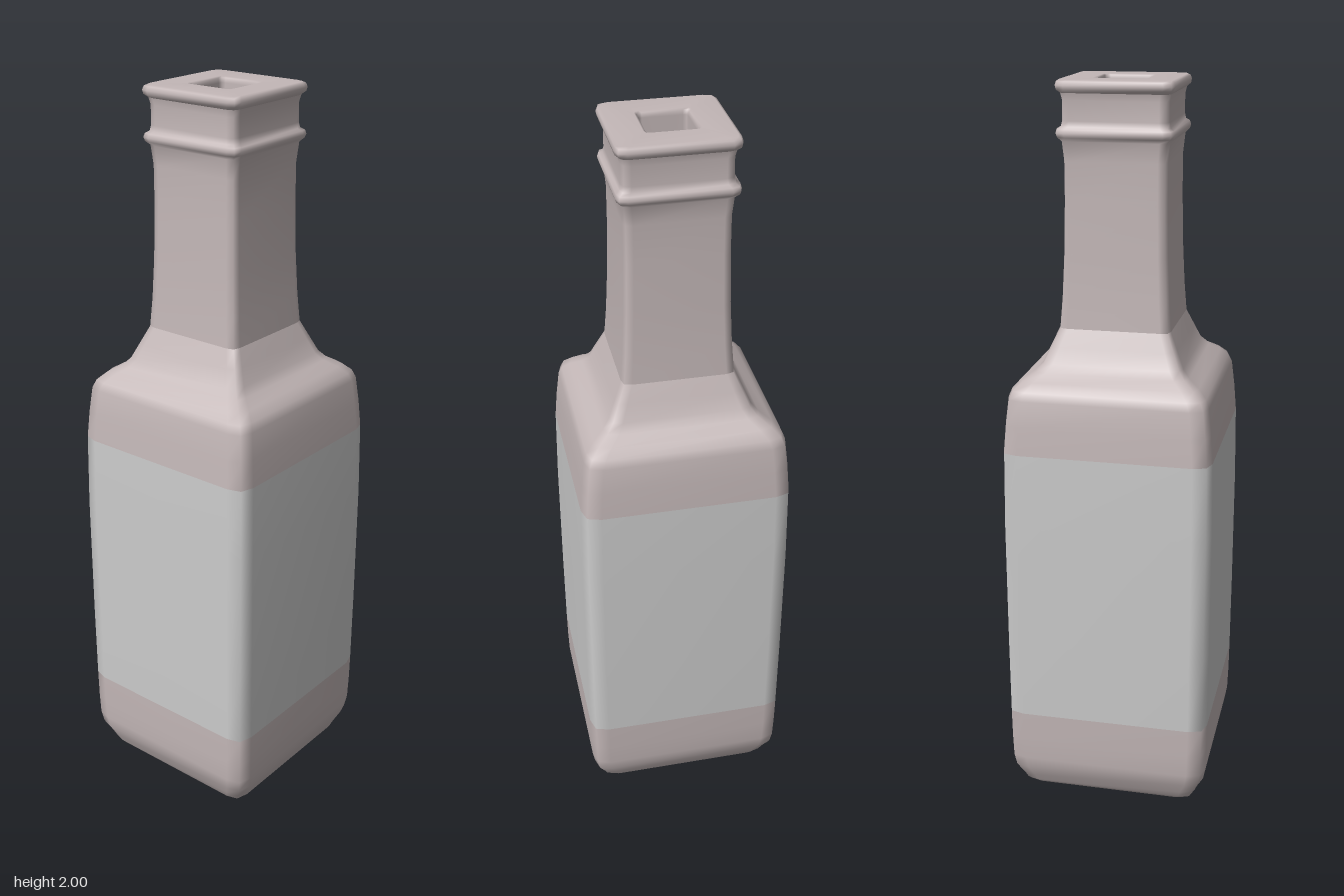
import * as THREE from 'three';

// One square ring with three-point rounded corners: half width r, corner size c
function ring(r, y, c) {
  const corner = [[r, r - c], [r - 0.23 * c, r - 0.23 * c], [r - c, r]];
  const points = [];
  for (let q = 0; q < 4; q++) {
    const a = (q * Math.PI) / 2;
    for (const [x, z] of corner) {
      points.push([x * Math.cos(a) - z * Math.sin(a), y, x * Math.sin(a) + z * Math.cos(a)]);
    }
  }
  return points;
}

// Joins rings of [half width, height, corner size], listed from outside bottom upwards
function loft(profile, { capStart = false, capEnd = false } = {}) {
  const n = 12, position = [], index = [];
  const addRing = ([r, y, c = 0.17 * r]) => ring(r, y, c).forEach((p) => position.push(...p));
  profile.forEach(addRing);
  for (let i = 0; i < profile.length - 1; i++) {
    for (let j = 0; j < n; j++) {
      const a = i * n + j, b = i * n + ((j + 1) % n);
      index.push(a, a + n, b, b, a + n, b + n);
    }
  }
  // Flat caps get their own vertices so their edges stay sharp
  const cap = (section, reversed) => {
    const start = position.length / 3;
    addRing(section);
    for (let j = 1; j < n - 1; j++) {
      if (reversed) index.push(start, start + j, start + j + 1);
      else index.push(start, start + j + 1, start + j);
    }
  };
  if (capStart) cap(profile[0], true);
  if (capEnd) cap(profile[profile.length - 1], false);
  const geometry = new THREE.BufferGeometry();
  geometry.setAttribute('position', new THREE.Float32BufferAttribute(position, 3));
  geometry.setIndex(index);
  geometry.computeVertexNormals();
  return geometry;
}

export function createModel() {
  const group = new THREE.Group();
  const glass = new THREE.MeshStandardMaterial({ color: 0xc3b7b7 });
  const paper = new THREE.MeshStandardMaterial({ color: 0xcccccc });

  const add = (name, geometry, material) => {
    const mesh = new THREE.Mesh(geometry, material);
    mesh.name = name;
    group.add(mesh);
  };

  // Stepped foot and lower body
  add('base', loft([
    [0.185, 0], [0.198, 0.006], [0.204, 0.024], [0.21, 0.032],
    [0.238, 0.034], [0.247, 0.045], [0.255, 0.064], [0.273, 0.1], [0.279, 0.135],
    [0.281, 0.2], [0.282, 0.28],
  ], { capStart: true }), glass);

  // Label band flush with the body
  add('label', loft([[0.282, 0.28], [0.283, 0.5], [0.283, 0.85], [0.28, 1.055]]), paper);

  // Shoulder sweeping into the neck
  add('shoulder', loft([
    [0.28, 1.055], [0.274, 1.13], [0.266, 1.2], [0.257, 1.222], [0.235, 1.243],
    [0.205, 1.262], [0.187, 1.282], [0.168, 1.325], [0.148, 1.37],
  ]), glass);

  // Neck with collar bead
  add('neck', loft([
    [0.148, 1.37], [0.142, 1.45], [0.137, 1.56], [0.134, 1.7], [0.134, 1.8],
    [0.139, 1.85], [0.149, 1.86], [0.152, 1.87], [0.149, 1.88], [0.14, 1.886],
    [0.137, 1.9], [0.137, 1.95], [0.141, 1.968],
  ]), glass);

  // Lip and mouth opening
  add('lip', loft([
    [0.141, 1.968], [0.15, 1.976], [0.152, 1.986], [0.149, 1.996], [0.142, 2],
    [0.07, 2, 0.014], [0.064, 1.997, 0.013], [0.062, 1.985, 0.012], [0.062, 1.85, 0.012],
  ], { capEnd: true }), glass);

  return group;
}
